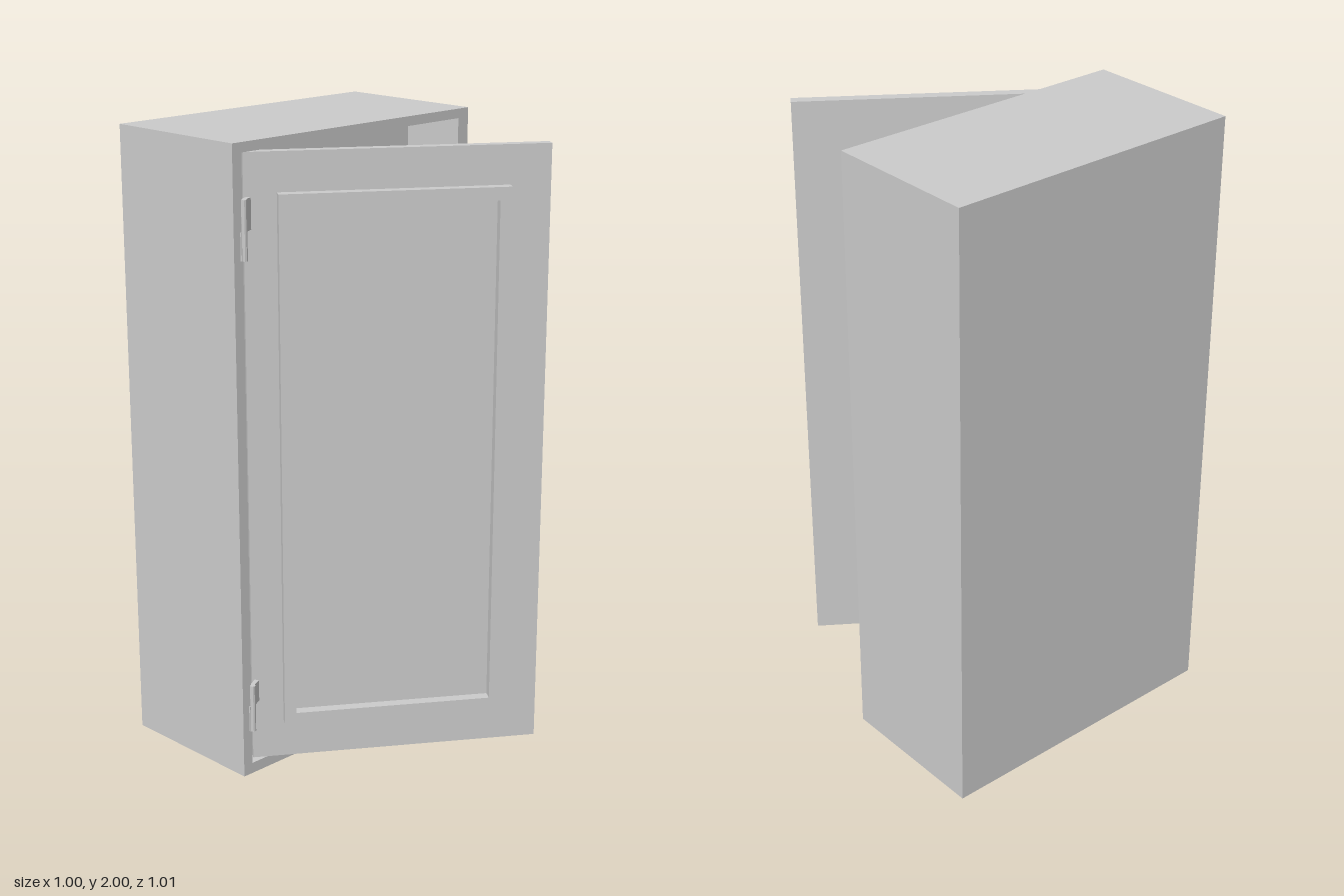
import * as THREE from 'three';

const material = new THREE.MeshStandardMaterial({ color: 0xcccccc, flatShading: true });

// Add a mesh with a name and position
function add(parent, name, geometry, x = 0, y = 0, z = 0) {
  const mesh = new THREE.Mesh(geometry, material);
  mesh.name = name;
  mesh.position.set(x, y, z);
  parent.add(mesh);
  return mesh;
}

// Box given by its minimum and maximum corners
function block(parent, name, [x0, y0, z0], [x1, y1, z1]) {
  return add(parent, name, new THREE.BoxGeometry(x1 - x0, y1 - y0, z1 - z0),
    (x0 + x1) / 2, (y0 + y1) / 2, (z0 + z1) / 2);
}

// Rectangular ring extruded along z; rectangles are [x0, y0, x1, y1]
function ring(outer, inner, depth) {
  const points = ([x0, y0, x1, y1]) => [
    new THREE.Vector2(x0, y0), new THREE.Vector2(x1, y0),
    new THREE.Vector2(x1, y1), new THREE.Vector2(x0, y1)];
  const shape = new THREE.Shape(points(outer));
  shape.holes.push(new THREE.Path(points(inner).reverse()));
  return new THREE.ExtrudeGeometry(shape, { depth, bevelEnabled: false });
}

export function createModel() {
  const model = new THREE.Group();
  model.name = 'breakerCabinet';

  // Cabinet: solid rear with hollow front
  const front = 0.005, back = -0.215;
  block(model, 'cabinetBack', [-0.5, 0, -0.505], [0.5, 2, back]);
  add(model, 'cabinetWalls',
    ring([-0.5, 0, 0.5, 2], [-0.465, 0.035, 0.455, 1.97], front - back), 0, 0, back);

  // Mounting plate behind the switches
  block(model, 'mountingPlate', [-0.375, 0.375, back], [0.33, 1.87, -0.195]);

  // Three rows of switches, each with a toggle on a raised collar
  const count = 8, left = -0.375, pitch = 0.725 / count;
  for (const [bottom, top] of [[0.465, 0.67], [0.955, 1.16], [1.44, 1.65]]) {
    const row = new THREE.Group();
    row.name = 'switchRow';
    model.add(row);
    const y = (bottom + top) / 2;
    for (let i = 0; i < count; i++) {
      const x = left + (i + 0.5) * pitch;
      block(row, 'switchBody', [x - pitch / 2 + 0.002, bottom, -0.195],
        [x + pitch / 2 - (i === count - 1 ? 0 : 0.002), top, -0.15]);
      block(row, 'toggleCollar', [x - 0.025, y - 0.022, -0.15], [x + 0.025, y + 0.022, -0.142]);
      const toggle = block(row, 'toggle', [x - 0.03, y - 0.008, -0.145], [x + 0.03, y + 0.01, -0.115]);
      toggle.rotation.x = -0.25;
    }
  }

  // Open door, built from its hinge-side front corner
  const door = new THREE.Group();
  door.name = 'door';
  door.position.set(-0.438, 0, -0.021);
  door.rotation.y = -0.605;
  model.add(door);
  block(door, 'doorPanel', [0, 0.035, -0.033], [0.92, 1.965, 0]);
  add(door, 'doorFrame',
    ring([0.098, 0.16, 0.795, 1.845], [0.135, 0.195, 0.758, 1.805], 0.034), 0, 0, 0);

  // Two hinges: pin, leaf on the cabinet and leaf on the door
  for (const [low, middle, high] of [[0.15, 0.235, 0.305], [1.655, 1.74, 1.835]]) {
    const hinge = new THREE.Group();
    hinge.name = 'hinge';
    model.add(hinge);
    add(hinge, 'hingePin', new THREE.CylinderGeometry(0.009, 0.009, high - low, 10),
      -0.464, (low + high) / 2, 0.011);
    block(hinge, 'cabinetLeaf', [-0.475, low, -0.04], [-0.457, middle, 0.01]);
    const leaf = block(hinge, 'doorLeaf', [-0.468, middle, -0.008], [-0.425, high, 0.006]);
    leaf.rotation.y = -0.605 + Math.PI / 3;
  }

  return model;
}
